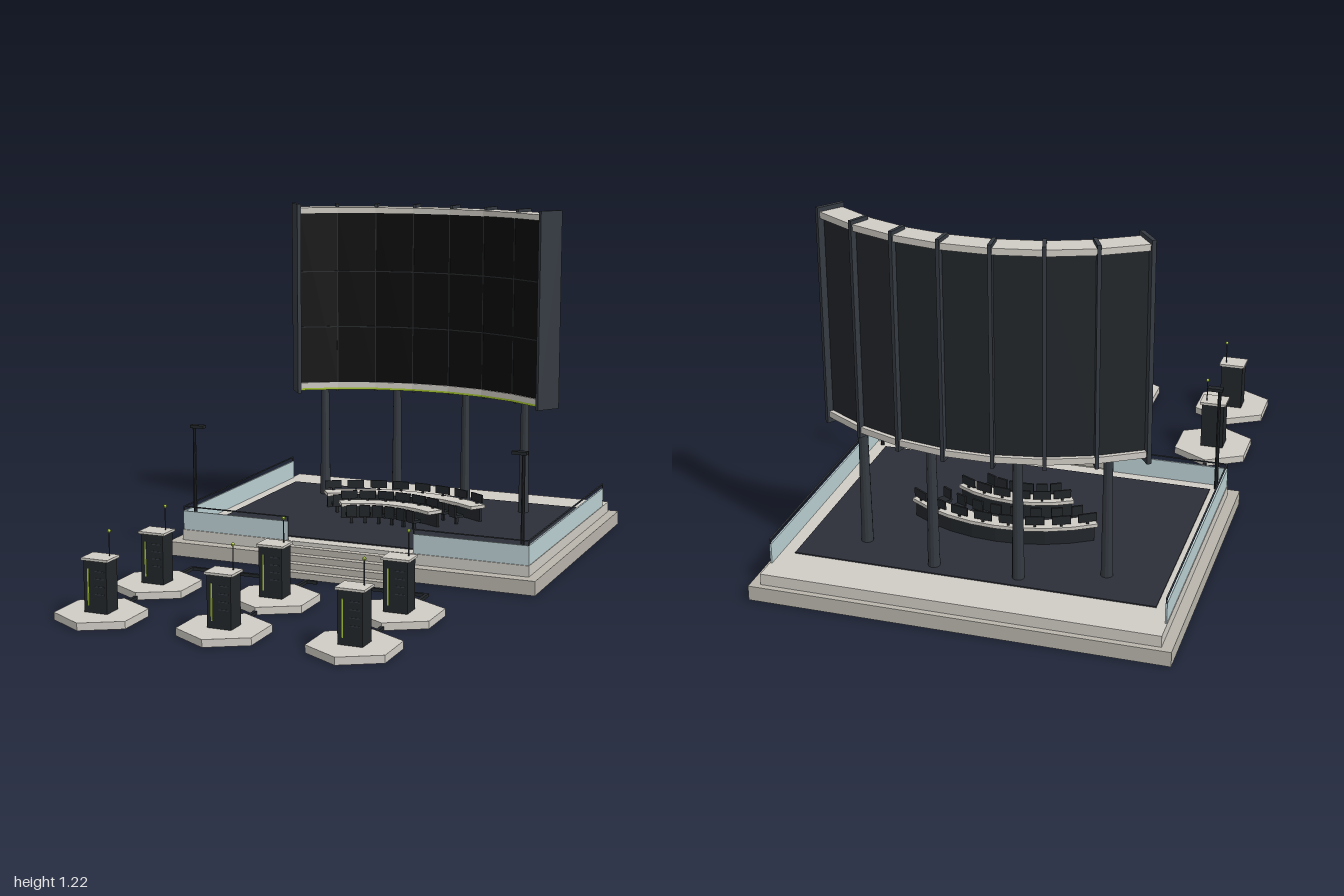
import * as THREE from 'three';

const mat = (color, extra = {}) => new THREE.MeshStandardMaterial({ color, flatShading: true, ...extra });
const M = {
  stone: mat(0xd0ccc5), base: mat(0xb9b5ac), floor: mat(0x2c2f38), metal: mat(0x343a41),
  dark: mat(0x22262a), black: mat(0x0b0b0b), line: mat(0x26292b), glass: mat(0xbcd0d4), green: mat(0xa9c934),
};
const DEG = Math.PI / 180;

function add(parent, name, geo, material, x = 0, y = 0, z = 0) {
  const m = new THREE.Mesh(geo, material);
  m.name = name;
  m.position.set(x, y, z);
  parent.add(m);
  return m;
}

// Box given by its min and max along each axis
function box(parent, name, material, x0, x1, y0, y1, z0, z1) {
  return add(parent, name, new THREE.BoxGeometry(x1 - x0, y1 - y0, z1 - z0), material,
    (x0 + x1) / 2, (y0 + y1) / 2, (z0 + z1) / 2);
}

// Faceted arc slab, bulging towards -z around (0, zc)
function arcSlab(parent, name, material, zc, r0, r1, half, n, y0, y1) {
  const at = (r, i) => {
    const a = (-half + (2 * half * i) / n) * DEG;
    return new THREE.Vector2(r * Math.sin(a), r * Math.cos(a));
  };
  const pts = [];
  for (let i = 0; i <= n; i++) pts.push(at(r1, i));
  for (let i = n; i >= 0; i--) pts.push(at(r0, i));
  const geo = new THREE.ExtrudeGeometry(new THREE.Shape(pts), { depth: y1 - y0, bevelEnabled: false });
  geo.rotateX(-Math.PI / 2);
  return add(parent, name, geo, material, 0, y0, zc);
}

// Group on an arc whose local -z points outwards
function radial(parent, name, zc, r, deg, y = 0) {
  const g = new THREE.Group(), a = deg * DEG;
  g.name = name;
  g.position.set(r * Math.sin(a), y, zc - r * Math.cos(a));
  g.rotation.y = -a;
  parent.add(g);
  return g;
}

function buildPlatform(root) {
  const g = new THREE.Group();
  g.name = 'platform';
  root.add(g);
  box(g, 'plinth', M.base, -0.685, 0.685, 0, 0.05, -1, 0.08);
  box(g, 'deck', M.stone, -0.65, 0.65, 0.05, 0.088, -0.98, 0.037);
  box(g, 'floor', M.floor, -0.597, 0.597, 0.088, 0.092, -0.826, -0.015);
  for (let i = 0; i < 4; i++) {
    const z = 0.192 - i * 0.027;
    box(g, 'step', M.base, -0.23, 0.23, i * 0.022, i * 0.022 + 0.022, z - 0.028, z);
  }
  // Glass balustrades and lamp posts on both sides
  for (const s of [-1, 1]) {
    const sx = (name, m, x0, x1, ...r) => box(g, name, m, Math.min(s * x0, s * x1), Math.max(s * x0, s * x1), ...r);
    sx('sideGlass', M.glass, 0.642, 0.648, 0.088, 0.156, -0.905, 0.032);
    sx('frontGlass', M.glass, 0.235, 0.648, 0.088, 0.156, 0.027, 0.033);
    sx('sideRail', M.metal, 0.643, 0.648, 0.17, 0.174, -0.905, 0.032);
    sx('frontRail', M.metal, 0.235, 0.648, 0.17, 0.174, 0.028, 0.032);
    sx('railPost', M.metal, 0.235, 0.239, 0.088, 0.174, 0.028, 0.032);
    for (const z of [-0.905, 0.028]) sx('railPost', M.metal, 0.644, 0.648, 0.088, 0.174, z, z + 0.004);
    add(g, 'lampPole', new THREE.CylinderGeometry(0.006, 0.007, 0.37, 8), M.dark, s * 0.615, 0.273, 0.003);
    sx('lampHead', M.dark, 0.575, 0.627, 0.457, 0.468, -0.01, 0.014);
  }
}

function buildScreen(root) {
  const g = new THREE.Group(), zc = 0.046, half = 36, n = 7;
  g.name = 'curvedScreen';
  root.add(g);
  arcSlab(g, 'display', M.black, zc, 0.811, 0.835, half, n, 0.535, 1.185);
  arcSlab(g, 'backPanel', M.dark, zc, 0.835, 0.874, half, n, 0.535, 1.185);
  arcSlab(g, 'bottomBeam', M.stone, zc, 0.806, 0.888, half, n, 0.514, 0.535);
  arcSlab(g, 'topBeam', M.stone, zc, 0.806, 0.888, half, n, 1.185, 1.206);
  arcSlab(g, 'lightStrip', M.green, zc, 0.806, 0.816, half, n, 0.506, 0.514);
  for (const y of [0.75, 0.963]) arcSlab(g, 'seam', M.line, zc, 0.8095, 0.812, half, n, y - 0.002, y + 0.002);
  // Vertical seams and back ribs between panels
  for (let i = 1; i < n; i++) {
    const r = radial(g, 'rib', zc, 0, -half + (2 * half * i) / n);
    box(r, 'seam', M.line, -0.002, 0.002, 0.535, 1.185, -0.813, -0.8095);
    box(r, 'ribTop', M.metal, -0.006, 0.006, 1.2, 1.218, -0.893, -0.823);
    box(r, 'ribBack', M.metal, -0.006, 0.006, 0.498, 1.218, -0.893, -0.862);
    box(r, 'ribBottom', M.metal, -0.006, 0.006, 0.498, 0.516, -0.893, -0.823);
  }
  for (const s of [-1, 1]) {
    const e = radial(g, 'endCap', zc, 0, s * (half + 0.3));
    box(e, 'endPlate', M.metal, -0.007, 0.007, 0.495, 1.22, -0.895, -0.8);
  }
  // Tapered columns
  for (const a of [-29, -9.7, 9.7, 29]) {
    const c = radial(g, 'column', zc, 0.832, a);
    add(c, 'columnShaft', new THREE.CylinderGeometry(0.015, 0.02, 0.43, 12), M.metal, 0, 0.303, 0);
  }
}

// Curved desk with monitors and chairs
function buildDeskRow(root, r0, r1, half, count, step, chairR) {
  const g = new THREE.Group(), zc = -0.038;
  g.name = 'deskRow';
  root.add(g);
  arcSlab(g, 'deskTop', M.stone, zc, r0, r1, half, count, 0.143, 0.155);
  arcSlab(g, 'deskPanel', M.dark, zc, r1 - 0.018, r1 - 0.008, half - 1, count, 0.092, 0.143);
  for (let i = 0; i < count; i++) {
    const a = (i - (count - 1) / 2) * step;
    const m = radial(g, 'monitor', zc, r1 - 0.012, a);
    const w = Math.min(0.031, r1 * step * DEG * 0.42);
    box(m, 'display', M.dark, -w, w, 0.163, 0.192, -0.003, 0.003);
    box(m, 'stand', M.dark, -0.004, 0.004, 0.155, 0.165, -0.003, 0.003);
    const c = radial(g, 'chair', zc, chairR, a);
    box(c, 'seat', M.dark, -0.019, 0.019, 0.118, 0.128, -0.018, 0.018);
    box(c, 'backrest', M.dark, -0.019, 0.019, 0.124, 0.163, 0.014, 0.021);
    box(c, 'pedestal', M.dark, -0.005, 0.005, 0.092, 0.118, -0.005, 0.005);
  }
}

function buildKiosk(root, x, z) {
  const g = new THREE.Group();
  g.name = 'kiosk';
  g.position.set(x, 0, z);
  root.add(g);
  add(g, 'hexPad', new THREE.CylinderGeometry(0.149, 0.149, 0.025, 6), M.stone, 0, 0.0125, 0);
  box(g, 'cabinet', M.dark, -0.041, 0.041, 0.025, 0.194, -0.034, 0.034);
  box(g, 'cap', M.stone, -0.048, 0.048, 0.194, 0.202, -0.039, 0.039);
  box(g, 'lightStrip', M.green, -0.027, -0.022, 0.048, 0.168, 0.033, 0.036);
  for (let i = 0; i < 4; i++) box(g, 'vent', M.metal, 0, 0.033, 0.085 + i * 0.025, 0.088 + i * 0.025, 0.033, 0.0355);
  add(g, 'antenna', new THREE.CylinderGeometry(0.002, 0.002, 0.08, 6), M.metal, 0.026, 0.242, -0.015);
  add(g, 'antennaTip', new THREE.SphereGeometry(0.006, 10, 8), M.green, 0.026, 0.283, -0.015);
}

export function createModel() {
  const root = new THREE.Group();
  root.name = 'outdoorControlPlaza';
  buildPlatform(root);
  buildScreen(root);
  buildDeskRow(root, 0.483, 0.545, 36, 8, 9.3, 0.438);
  buildDeskRow(root, 0.306, 0.367, 33.5, 6, 11, 0.264);
  // Kiosks in two rows, joined by cable ducts
  for (const [x, end] of [[-0.51, -0.205], [-0.075, -0.035], [0.36, 0.145]]) {
    buildKiosk(root, x, 0.482);
    buildKiosk(root, x, 0.849);
    box(root, 'cableDuct', M.dark, x - 0.006, x + 0.006, 0.002, 0.013, 0.228, 0.36);
    box(root, 'cableDuct', M.dark, x - 0.006, x + 0.006, 0.002, 0.013, 0.61, 0.72);
    box(root, 'cableDuct', M.dark, Math.min(x, end), Math.max(x, end), 0.002, 0.013, 0.227, 0.239);
  }
  return root;
}
